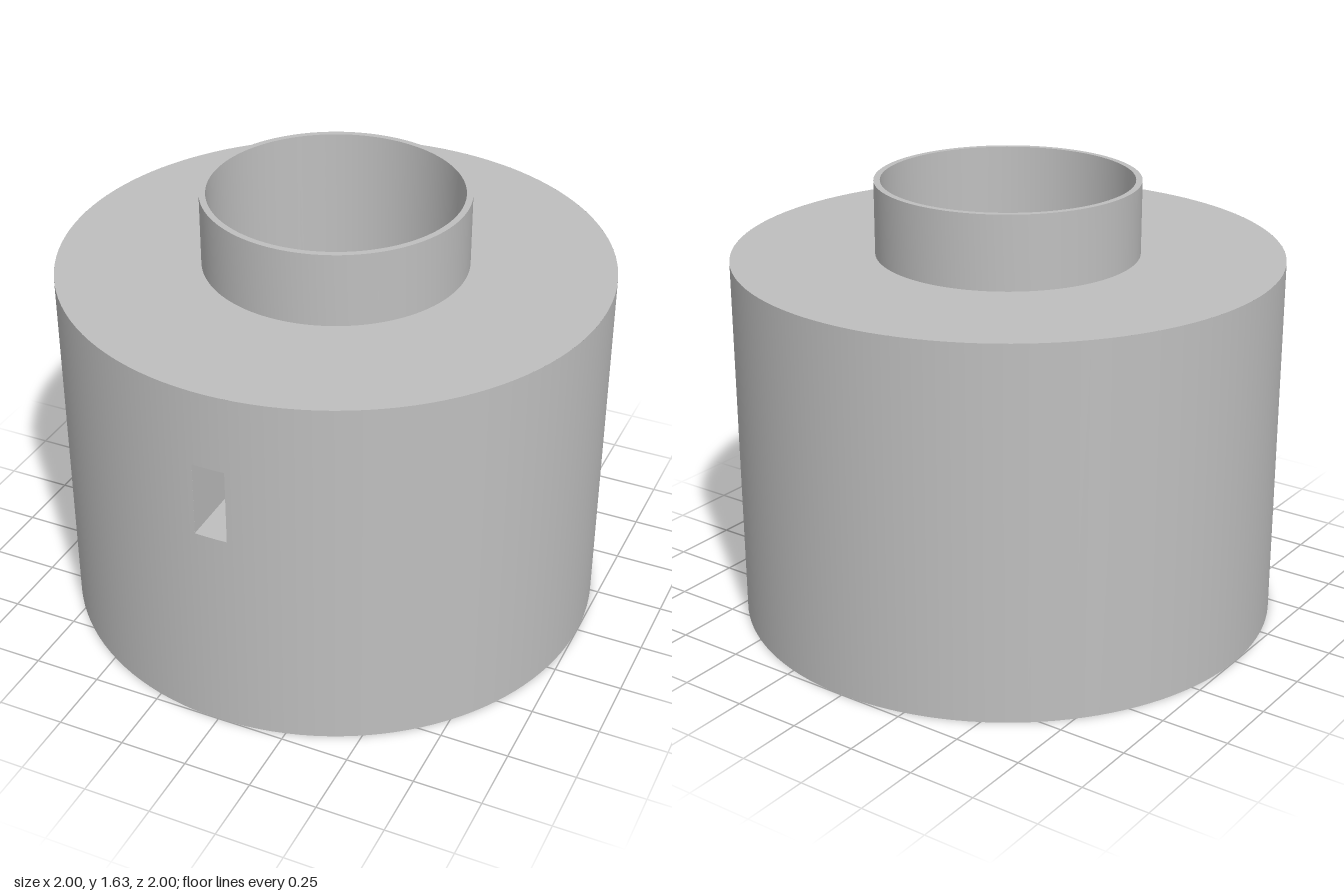
import * as THREE from 'three';
import { toCreasedNormals } from 'three/addons/utils/BufferGeometryUtils.js';

const H = 1.365;                       // body height
const SLOT = { a: 0.06, y0: 0.8, y1: 1.08, back: 0.75 };
const DRILL = { t: Math.PI * 2 / 3, y: 0.18, r: 0.018, m: 0.03 };

const grey = new THREE.MeshStandardMaterial({ color: 0xbfbfbf, side: THREE.DoubleSide });
grey.name = 'plain grey';

function add(parent, name, geometry) {
  const mesh = new THREE.Mesh(geometry, grey);
  mesh.name = name;
  parent.add(mesh);
  return mesh;
}

function circlePath(x, y, r) {
  return new THREE.Path().absarc(x, y, r, 0, Math.PI * 2, true);
}

function rectShape(x0, y0, x1, y1) {
  return new THREE.Shape([[x0, y0], [x1, y0], [x1, y1], [x0, y1]].map(p => new THREE.Vector2(...p)));
}

// Round pocket opening towards +z, closed at the far end
function blindHole(name, r, depth) {
  const g = new THREE.Group();
  g.name = name;
  const bore = new THREE.CylinderGeometry(r, r, depth, 32, 1, true);
  add(g, name + 'Wall', bore.rotateX(Math.PI / 2).translate(0, 0, -depth / 2));
  add(g, name + 'End', new THREE.CircleGeometry(r, 32).translate(0, 0, -depth));
  return g;
}

export function createModel() {
  const model = new THREE.Group();
  model.name = 'vessel';

  // Outer wall in sections that leave the slot and the drilled patch free
  const wall = (t0, t1, y0, y1) => {
    const seg = Math.max(2, Math.ceil((t1 - t0) / 0.05));
    const g = new THREE.CylinderGeometry(1, 1, y1 - y0, seg, 1, true, t0, t1 - t0);
    add(model, 'outerWall', g.translate(0, (y0 + y1) / 2, 0));
  };
  const { a, y0, y1, back } = SLOT;
  const { t, y, r, m } = DRILL;
  wall(a, t - m, 0, H);
  wall(t + m, Math.PI * 2 - a, 0, H);
  wall(-a, a, 0, y0);
  wall(-a, a, y1, H);
  wall(t - m, t + m, 0, y - m);
  wall(t - m, t + m, y + m, H);

  // Small wall patch with a drilled hole, bent onto the cylinder
  const patchShape = rectShape(-m, y - m, m, y + m);
  patchShape.holes.push(circlePath(0, y, r));
  const patch = new THREE.ShapeGeometry(patchShape, 16);
  const pos = patch.attributes.position;
  for (let i = 0; i < pos.count; i++) {
    const ang = t + pos.getX(i);
    pos.setXYZ(i, Math.sin(ang), pos.getY(i), Math.cos(ang));
    patch.attributes.normal.setXYZ(i, Math.sin(ang), 0, Math.cos(ang));
  }
  add(model, 'drilledPatch', patch);
  const drill = blindHole('sideHole', r, 0.25);
  drill.position.set(Math.sin(t), y, Math.cos(t));
  drill.rotation.y = t;
  model.add(drill);

  // Shoulder, neck and inner bore in one turned profile
  const profile = [[0.457, 0.27], [0.457, 1.635], [0.48, 1.635], [0.48, H], [1, H]]
    .map(p => new THREE.Vector2(...p)).reverse();
  const lathe = new THREE.LatheGeometry(profile, 120);
  // reversed so that the surface faces outwards
  const idx = lathe.index.array;
  const probe = new THREE.Vector3();
  const tri = new THREE.Triangle();
  tri.setFromAttributeAndIndices(lathe.attributes.position, idx[0], idx[1], idx[2]).getNormal(probe);
  if (probe.y < 0) for (let i = 0; i < idx.length; i += 3) [idx[i], idx[i + 1]] = [idx[i + 1], idx[i]];
  add(model, 'shoulderAndNeck', toCreasedNormals(lathe, 0.5));
  add(model, 'boreFloor', new THREE.CircleGeometry(0.457, 96).rotateX(-Math.PI / 2).translate(0, 0.27, 0));

  // Underside with three round sockets
  const base = new THREE.Shape().absarc(0, 0, 1, 0, Math.PI * 2, false);
  for (const deg of [30, 150, 270]) {
    const q = THREE.MathUtils.degToRad(deg);
    const x = 0.32 * Math.cos(q), z = 0.32 * Math.sin(q);
    base.holes.push(circlePath(x, z, 0.09));
    const socket = blindHole('footSocket', 0.09, 0.15);
    socket.position.set(x, 0, z);
    socket.rotation.x = Math.PI / 2;
    model.add(socket);
  }
  add(model, 'underside', new THREE.ShapeGeometry(base, 64).rotateX(Math.PI / 2));

  // Front slot: four sides and a back plate with connector holes
  const slot = new THREE.Group();
  slot.name = 'frontSlot';
  model.add(slot);
  const depth = 0.998 - back, midZ = back + depth / 2, midY = (y0 + y1) / 2;
  for (const s of [-1, 1]) {
    add(slot, 'slotSide', new THREE.PlaneGeometry(depth, y1 - y0)
      .rotateY(-s * Math.PI / 2).translate(s * a, midY, midZ));
    add(slot, 'slotFloorOrRoof', new THREE.PlaneGeometry(2 * a, depth)
      .rotateX(s * Math.PI / 2).translate(0, midY + s * (y1 - y0) / 2, midZ));
  }
  const plate = rectShape(-a, y0, a, y1);
  for (const [x, hy, hr] of [[0, 1.036, 0.017], [0, 1.0, 0.017], [0, 0.92, 0.018], [0, 0.84, 0.018], [0.042, 1.02, 0.008]]) {
    plate.holes.push(circlePath(x, hy, hr));
    const hole = blindHole('connectorHole', hr, 0.12);
    hole.position.set(x, hy, back);
    slot.add(hole);
  }
  add(slot, 'slotBack', new THREE.ShapeGeometry(plate, 16).translate(0, 0, back));

  return model;
}
